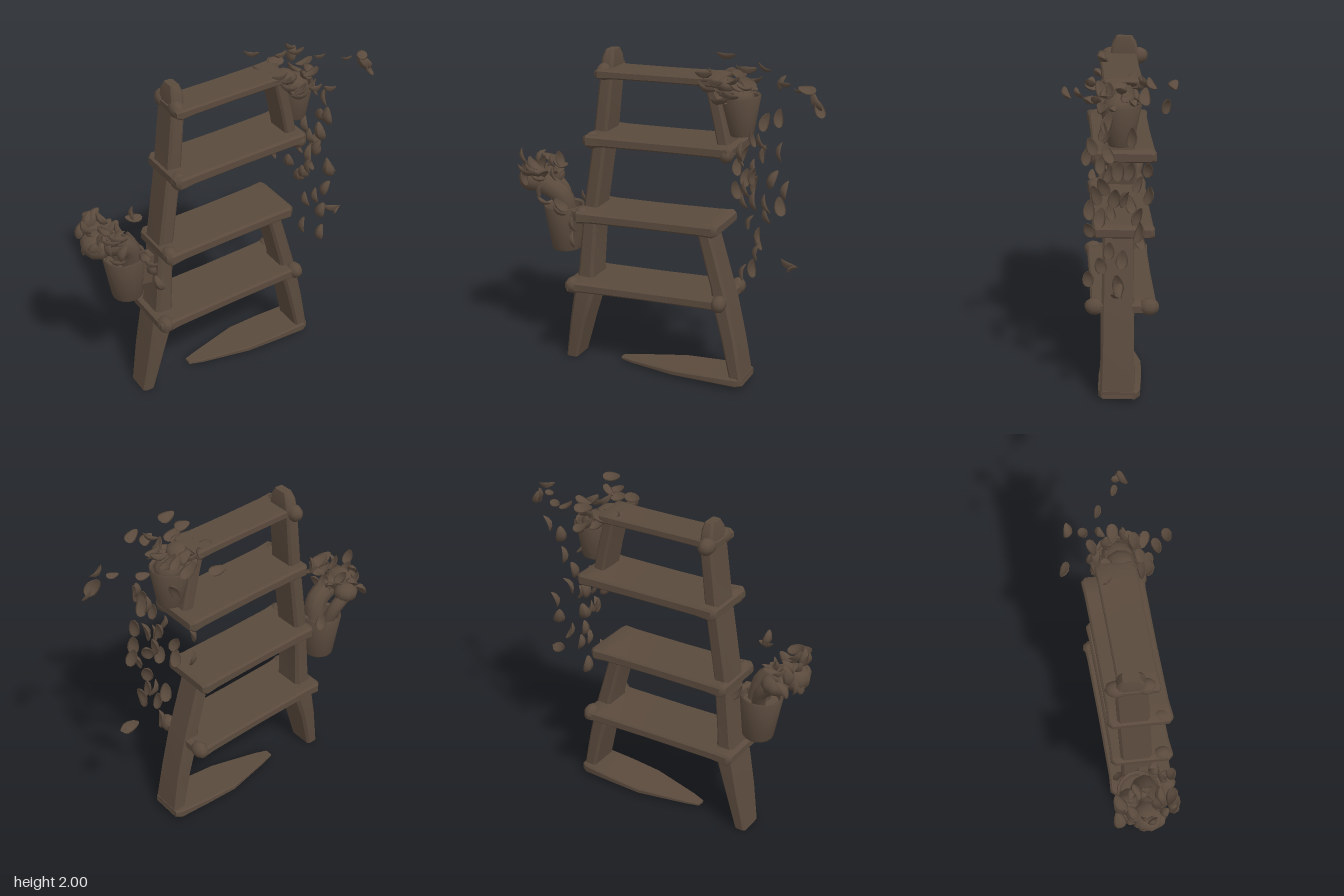
import * as THREE from 'three';
import { toCreasedNormals } from 'three/addons/utils/BufferGeometryUtils.js';

const brown = new THREE.MeshStandardMaterial({ color: 0x5a4a3d });
brown.name = 'dark brown';

let seed = 7;
const rand = () => (seed = (seed * 16807) % 2147483647) / 2147483647;
const vary = (r) => (rand() * 2 - 1) * r;

function add(parent, name, geometry) {
  const mesh = new THREE.Mesh(geometry, brown);
  mesh.name = name;
  parent.add(mesh);
  return mesh;
}

// Chamfered beam through sections [t, a, z, halfA, halfZ]:
// along y, t is y and a is x; along x, t is x and a is y.
function beam(axis, sections) {
  const pos = [], index = [], n = 8;
  for (const [t, a, z, ha, hz] of sections) {
    const c = Math.min(ha, hz) * 0.35;
    const loop = [[ha, -hz + c], [ha, hz - c], [ha - c, hz], [-ha + c, hz],
      [-ha, hz - c], [-ha, -hz + c], [-ha + c, -hz], [ha - c, -hz]];
    for (const [da, dz] of loop) {
      if (axis === 'y') pos.push(a + da, t, z + dz);
      else pos.push(t, a + da, z + dz);
    }
  }
  const tri = (p, q, r) => (axis === 'y' ? index.push(p, r, q) : index.push(p, q, r));
  const last = (sections.length - 1) * n;
  for (let s = 0; s < last; s += n) {
    for (let i = 0; i < n; i++) {
      const j = (i + 1) % n;
      tri(s + i, s + j, s + n + j);
      tri(s + i, s + n + j, s + n + i);
    }
  }
  for (let i = 1; i < n - 1; i++) {
    tri(0, i + 1, i);
    tri(last, last + i, last + i + 1);
  }
  const g = new THREE.BufferGeometry();
  g.setAttribute('position', new THREE.Float32BufferAttribute(pos, 3));
  g.setIndex(index);
  return toCreasedNormals(g, 0.6);
}

// Thin curled leaf, long axis y, flat side facing x
function leafGeometry() {
  const g = new THREE.SphereGeometry(1, 8, 6);
  const p = g.attributes.position;
  for (let i = 0; i < p.count; i++) {
    const x = p.getX(i), y = p.getY(i), z = p.getZ(i);
    p.setXYZ(i, x * 0.08 + 0.25 * y * y - 0.1 + 0.15 * z * z, y * 0.5, z * 0.3 * (1 - 0.3 * y));
  }
  g.computeVertexNormals();
  return g;
}
const leafShape = leafGeometry();

function leaf(parent, x, y, z, length, tilt, twist = vary(0.9)) {
  const m = add(parent, 'leaf', leafShape);
  m.position.set(x, y, z);
  m.scale.setScalar(length);
  m.rotation.set(vary(0.4), twist, tilt, 'ZXY');
}

// Open tapered pot with a soil surface inside
function pot(parent, name, x, y, z, rBottom, rTop, h, tilt) {
  const profile = [[0, 0], [rBottom * 0.93, 0], [rBottom, 0.012], [rTop, h - 0.01],
    [rTop * 0.97, h], [rTop * 0.87, h - 0.01], [rTop * 0.82, h - 0.05], [0, h - 0.04]];
  const g = new THREE.LatheGeometry(profile.map(([r, t]) => new THREE.Vector2(r, t)), 16);
  const m = add(parent, name, toCreasedNormals(g, 0.7));
  m.position.set(x, y, z);
  m.rotation.z = tilt;
}

function blob(parent, name, x, y, z, sx, sy, sz) {
  const m = add(parent, name, new THREE.SphereGeometry(1, 9, 7));
  m.position.set(x, y, z);
  m.scale.set(sx, sy, sz);
  m.rotation.set(vary(0.2), vary(0.2), vary(0.2));
}

export function createModel() {
  const model = new THREE.Group();
  model.name = 'plantLadder';

  // Rails
  const frame = new THREE.Group();
  frame.name = 'ladderFrame';
  model.add(frame);
  add(frame, 'rightRail', beam('y', [
    [0, -0.592, 0.02, 0.037, 0.08], [0.25, -0.54, 0.02, 0.05, 0.1], [0.48, -0.485, 0.02, 0.068, 0.105],
    [0.6, -0.475, 0.02, 0.05, 0.095], [0.98, -0.445, 0.01, 0.045, 0.09], [1.45, -0.375, 0.0, 0.043, 0.09],
    [1.82, -0.335, -0.01, 0.04, 0.085], [1.9, -0.332, -0.01, 0.036, 0.07], [1.94, -0.33, -0.01, 0.026, 0.045]]));
  add(frame, 'leftUpperRail', beam('y', [
    [1.42, 0.4, 0, 0.037, 0.085], [1.6, 0.36, 0, 0.035, 0.085], [1.84, 0.3, 0, 0.035, 0.085]]));
  add(frame, 'leftLowerRail', beam('y', [
    [0.03, 0.5, 0.01, 0.038, 0.1], [0.3, 0.445, 0.01, 0.046, 0.095], [0.52, 0.39, 0.01, 0.052, 0.095],
    [0.6, 0.375, 0.01, 0.045, 0.09], [0.97, 0.27, 0.01, 0.042, 0.085]]));

  // Steps: [x start, x end, y, half thickness, half depth]
  const steps = [
    [-0.56, 0.43, 0.53, 0.032, 0.19], [-0.5, 0.38, 0.97, 0.034, 0.175],
    [-0.43, 0.46, 1.44, 0.033, 0.175], [-0.38, 0.36, 1.82, 0.026, 0.11]];
  for (const [x0, x1, y, h, d] of steps) {
    const at = (x, s) => [x, y + 0.01 * x, 0.005 - 0.075 * x, h * s, d * (0.7 + 0.3 * s)];
    add(frame, 'step', beam('x', [at(x0, 0.65), at(x0 + 0.025, 1.1), at(x0 + 0.12, 0.95),
      at((x0 + x1) / 2, 0.9), at(x1 - 0.1, 0.95), at(x1 - 0.025, 1.05), at(x1, 0.65)]));
  }

  // Swollen joints where the steps meet the rails
  for (const [x, y, z] of [[-0.52, 0.525, 0.19], [0.4, 0.54, 0.14], [0.4, 0.54, -0.17],
    [-0.46, 0.97, 0.16], [-0.39, 1.43, 0.15], [0.42, 1.43, 0.1], [-0.345, 1.82, 0.07], [-0.345, 1.82, -0.09]]) {
    blob(frame, 'joint', x, y, z, 0.045, 0.05, 0.06);
  }

  // Tapered board lying on the ground
  add(frame, 'groundBoard', beam('x', [
    [-0.28, 0.02, 0.01, 0.007, 0.025], [-0.2, 0.022, 0.01, 0.01, 0.05], [0.1, 0.033, 0, 0.016, 0.12],
    [0.3, 0.04, 0, 0.02, 0.125], [0.5, 0.043, 0, 0.028, 0.12], [0.535, 0.043, 0, 0.022, 0.1]]));

  // Low pot with a leaning plant
  const low = new THREE.Group();
  low.name = 'lowPlant';
  model.add(low);
  pot(low, 'lowPot', -0.655, 0.68, 0, 0.092, 0.125, 0.28, 0.05);
  const bracket = add(low, 'potBracket', new THREE.BoxGeometry(0.06, 0.18, 0.07));
  bracket.position.set(-0.56, 0.86, 0.05);
  bracket.rotation.z = -0.1;
  const stem = (name, pts, r) => add(low, name, new THREE.TubeGeometry(
    new THREE.CatmullRomCurve3(pts.map((p) => new THREE.Vector3(...p))), 10, r, 9));
  stem('thickStem', [[-0.64, 0.9, 0.02], [-0.66, 1.02, 0.04], [-0.75, 1.08, 0.05], [-0.87, 1.11, 0.05]], 0.065);
  stem('backStem', [[-0.67, 0.9, -0.04], [-0.71, 1.02, -0.08], [-0.8, 1.1, -0.09]], 0.04);
  blob(low, 'crown', -0.85, 1.11, 0.04, 0.09, 0.075, 0.1);
  blob(low, 'crown', -0.79, 1.1, -0.08, 0.08, 0.06, 0.07);
  for (let i = 0; i < 26; i++) {
    const a = i * 2.4, r = 0.5 + 0.5 * rand();
    leaf(low, -0.82 + 0.11 * r * Math.cos(a), 1.14 + vary(0.07), 0.02 + 0.17 * r * Math.sin(a),
      0.09 + 0.04 * rand(), vary(1.4));
  }
  for (const [x, y, z, t] of [[-0.92, 1.24, 0.05, 0.4], [-0.86, 1.23, -0.05, -0.6], [-0.83, 1.21, 0.08, 0.8],
    [-0.65, 1.27, 0.08, 0.2], [-0.64, 1.23, 0.08, 1.4], [-0.76, 0.99, 0.1, 1.2], [-0.62, 1.0, 0.14, 0.8],
    [-0.58, 0.98, -0.1, 0.5], [-0.56, 0.88, 0.12, 0.1], [-0.54, 0.8, 0.16, 0.3], [-0.6, 0.98, 0.2, 1]]) {
    leaf(low, x, y, z, 0.1, t);
  }

  // High pot with a trailing plant
  const high = new THREE.Group();
  high.name = 'highPlant';
  model.add(high);
  pot(high, 'highPot', 0.465, 1.52, -0.01, 0.07, 0.115, 0.23, 0.05);
  blob(high, 'crown', 0.45, 1.73, 0, 0.09, 0.07, 0.09);
  blob(high, 'crown', 0.38, 1.8, 0.01, 0.07, 0.045, 0.08);
  for (let i = 0; i < 24; i++) {
    const a = i * 2.4, r = 0.4 + 0.6 * rand();
    leaf(high, 0.39 + 0.15 * r * Math.cos(a), 1.8 + vary(0.06), 0.02 + 0.18 * r * Math.sin(a),
      0.09 + 0.03 * rand(), 1.5 + vary(0.7));
  }
  // Spreading leaves: [x, y, z, length, tilt]
  for (const [x, y, z, l, t] of [[0.4, 1.98, 0.09, 0.11, 1.5], [0.35, 1.82, -0.29, 0.1, 1.4],
    [0.28, 1.87, 0.12, 0.1, 1.6], [0.6, 1.78, -0.25, 0.1, -0.4], [0.5, 1.81, 0.28, 0.1, 1.2],
    [0.53, 1.87, -0.17, 0.09, 1], [0.68, 1.81, -0.08, 0.08, 1.6], [0.8, 1.81, 0.02, 0.07, 1.6],
    [0.86, 1.83, 0.07, 0.1, 1.4], [0.9, 1.77, 0.05, 0.12, 0.6], [0.93, 1.73, 0.06, 0.1, 0.4],
    [0.45, 1.8, 0.22, 0.1, 1.4], [0.76, 0.79, 0, 0.11, 1.3], [0.79, 0.78, 0.01, 0.07, -1.1]]) {
    leaf(high, x, y, z, l, t);
  }
  // Hanging leaves: [x, y, z]
  for (const [x, y, z] of [[0.65, 1.62, -0.08], [0.62, 1.63, 0.06], [0.58, 1.55, 0.14], [0.69, 1.45, 0],
    [0.6, 1.51, 0.06], [0.52, 1.48, 0.17], [0.5, 1.42, 0.1], [0.57, 1.41, -0.06], [0.42, 1.37, -0.16],
    [0.46, 1.35, 0.05], [0.5, 1.31, -0.1], [0.56, 1.32, 0.08], [0.64, 1.28, -0.03], [0.43, 1.22, -0.17],
    [0.48, 1.24, 0.12], [0.55, 1.25, 0.02], [0.5, 1.15, 0.05], [0.47, 1.18, -0.06], [0.65, 1.17, 0.1],
    [0.69, 1.2, -0.1], [0.6, 1.2, 0.16], [0.66, 1.09, -0.12], [0.58, 1.08, 0.16], [0.58, 1.02, -0.11],
    [0.59, 0.96, 0.05], [0.57, 0.9, -0.02], [0.6, 0.88, 0.1], [0.55, 0.78, 0.17], [0.54, 0.74, 0]]) {
    leaf(high, x, y, z, 0.1 + 0.02 * rand(), vary(0.4));
  }
  return model;
}
